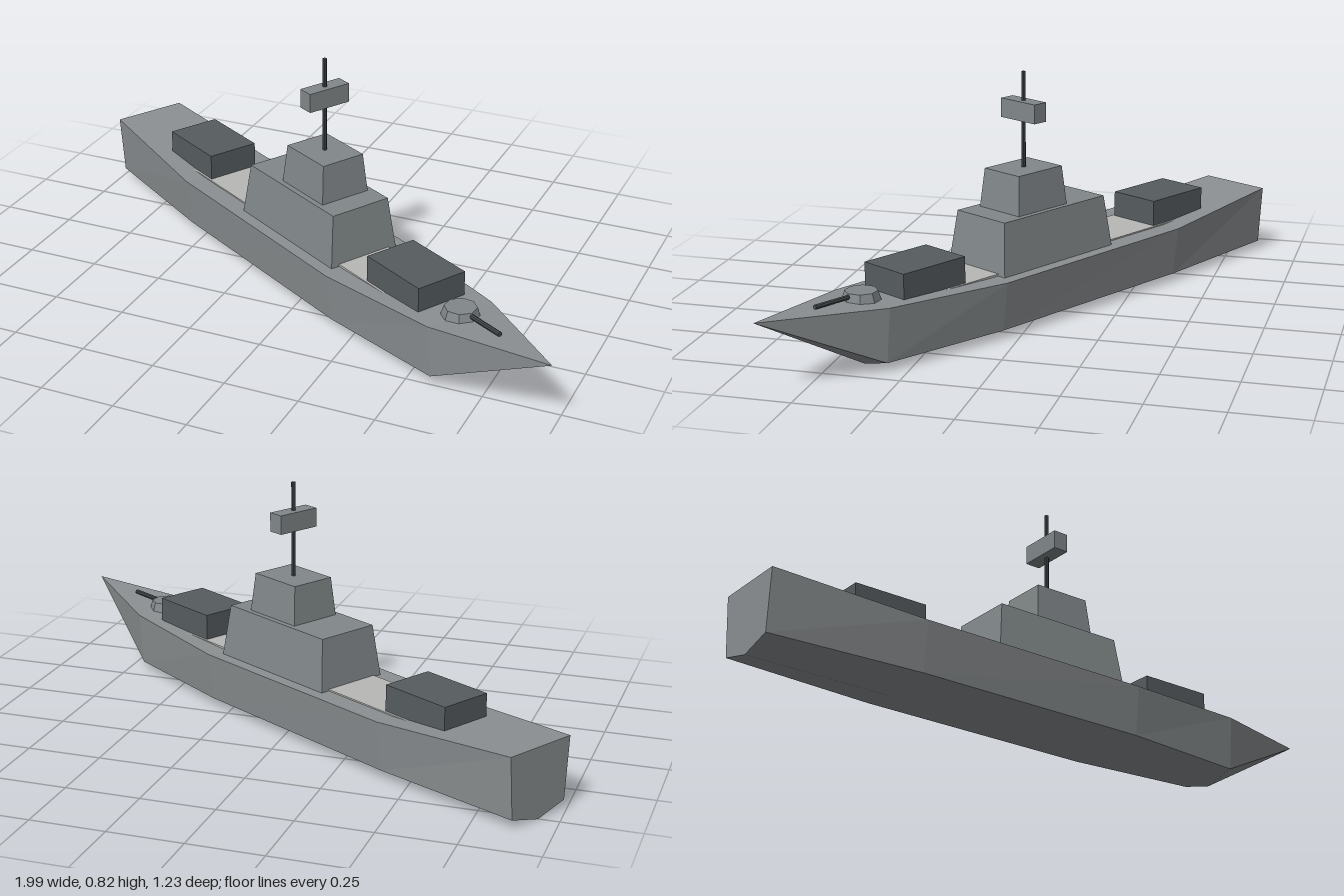
import * as THREE from 'three';

function material(name, color) {
  const m = new THREE.MeshStandardMaterial({ color, flatShading: true });
  m.name = name;
  return m;
}

// Hull lofted through five-point sections: deck edge, chine, keel, chine, deck edge.
function hullGeometry() {
  // [station, deck height, deck half width, chine half width]
  const stations = [
    [-1.113, 0.235, 0.13, 0.115],
    [-0.59, 0.198, 0.17, 0.15],
    [0.245, 0.195, 0.173, 0.152],
    [0.7, 0.211, 0.128, 0.112],
  ];
  const sections = stations.map(([x, y, w, c]) => [
    [x, y, -w], [x, 0.03, -c], [x, 0, 0], [x, 0.03, c], [x, y, w],
  ]);
  const tip = [1.113, 0.235, 0];
  const pos = [];
  const tri = (...points) => points.forEach((p) => pos.push(...p));
  sections.forEach((s, i) => {
    const next = sections[i + 1];
    for (let k = 0; k < 5; k++) {
      const n = (k + 1) % 5;
      if (next) {
        tri(s[k], next[k], next[n]);
        tri(s[k], next[n], s[n]);
      } else {
        tri(s[k], tip, s[n]);
      }
    }
  });
  // Transom
  const t = sections[0];
  for (let k = 1; k < 4; k++) tri(t[0], t[k], t[k + 1]);
  const g = new THREE.BufferGeometry();
  g.setAttribute('position', new THREE.Float32BufferAttribute(pos, 3));
  g.computeVertexNormals();
  return g;
}

// Box between two lengthwise stations and two heights, with its top drawn in.
function block(x0, x1, y0, y1, halfWidth, inset = 0) {
  const length = x1 - x0;
  const g = new THREE.BoxGeometry(length, y1 - y0, halfWidth * 2);
  const p = g.attributes.position;
  for (let i = 0; i < p.count; i++) {
    if (p.getY(i) > 0) {
      p.setX(i, p.getX(i) - Math.sign(p.getX(i)) * inset);
      p.setZ(i, p.getZ(i) - Math.sign(p.getZ(i)) * inset);
    }
  }
  g.translate((x0 + x1) / 2, (y0 + y1) / 2, 0);
  g.computeVertexNormals();
  return g;
}

export function createModel() {
  const hullGrey = material('hull grey', 0x8c9092);
  const houseGrey = material('superstructure grey', 0x82888a);
  const deckGrey = material('pale deck grey', 0xb8b8b6);
  const darkGrey = material('dark grey', 0x565c5f);
  const mastGrey = material('mast grey', 0x44494b);

  const ship = new THREE.Group();
  ship.name = 'ship';
  const add = (name, geometry, mat) => {
    const mesh = new THREE.Mesh(geometry, mat);
    mesh.name = name;
    ship.add(mesh);
    return mesh;
  };

  add('hull', hullGeometry(), hullGrey);
  add('midDeck', block(-0.7, 0.52, 0.15, 0.202, 0.1), deckGrey);

  // Two-tier superstructure
  add('lowerDeckhouse', block(-0.29, 0.217, 0.19, 0.37, 0.131, 0.021), houseGrey);
  add('bridge', block(-0.11, 0.113, 0.37, 0.5, 0.091, 0.012), houseGrey);

  // Deck housings fore and aft
  add('aftHousing', block(-0.805, -0.547, 0.19, 0.29, 0.092), darkGrey);
  add('foreHousing', block(0.353, 0.611, 0.19, 0.29, 0.092), darkGrey);

  // Mast and radar
  const mast = add('mast', new THREE.CylinderGeometry(0.007, 0.007, 0.32, 8), mastGrey);
  mast.position.y = 0.66;
  add('radar', block(-0.027, 0.027, 0.66, 0.724, 0.077), houseGrey);

  // Bow gun
  const mount = add('gunMount', new THREE.CylinderGeometry(0.052, 0.063, 0.035, 8), houseGrey);
  mount.position.set(0.703, 0.223, 0);
  const barrel = add('gunBarrel', new THREE.CylinderGeometry(0.008, 0.008, 0.16, 8), mastGrey);
  barrel.rotation.z = Math.PI / 2;
  barrel.position.set(0.805, 0.229, 0);

  // The ship lies at an angle to the axes
  ship.rotation.y = -Math.PI / 6;
  ship.position.set(0.03, 0, 0.055);

  const model = new THREE.Group();
  model.name = 'patrolShip';
  model.add(ship);
  return model;
}
